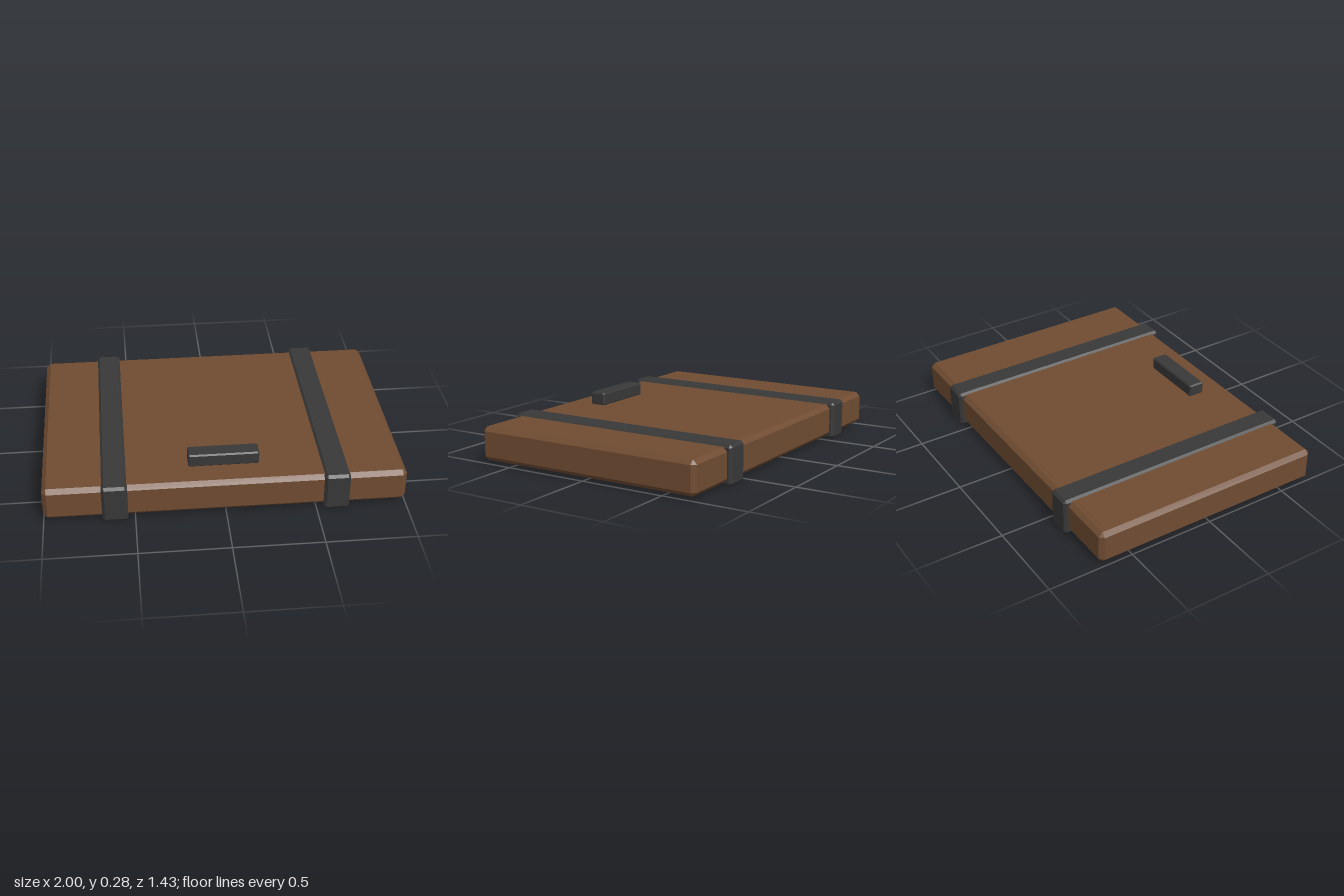
import * as THREE from 'three';
import { ConvexGeometry } from 'three/addons/geometries/ConvexGeometry.js';

// Box with every edge cut at 45 degrees: three corner points per corner
function chamferBox(w, h, d, c) {
  const points = [];
  for (const sx of [-1, 1]) for (const sy of [-1, 1]) for (const sz of [-1, 1]) {
    const x = w / 2, y = h / 2, z = d / 2;
    points.push(
      new THREE.Vector3(sx * x, sy * (y - c), sz * (z - c)),
      new THREE.Vector3(sx * (x - c), sy * y, sz * (z - c)),
      new THREE.Vector3(sx * (x - c), sy * (y - c), sz * z)
    );
  }
  return new ConvexGeometry(points);
}

export function createModel() {
  const group = new THREE.Group();
  group.name = 'strappedCase';

  const leather = new THREE.MeshStandardMaterial({ color: 0x704c32 });
  leather.name = 'brown leather';
  const dark = new THREE.MeshStandardMaterial({ color: 0x383838 });
  dark.name = 'dark grey strap';

  function add(name, geometry, material, x, y, z) {
    const mesh = new THREE.Mesh(geometry, material);
    mesh.name = name;
    mesh.position.set(x, y, z);
    group.add(mesh);
  }

  // Flat case body
  add('caseBody', chamferBox(2, 0.192, 1.386, 0.024), leather, 0, 0.112, 0);

  // Two straps wrapping the case front to back
  const strap = chamferBox(0.142, 0.22, 1.434, 0.015);
  add('leftStrap', strap, dark, 0.61, 0.11, 0);
  add('rightStrap', strap, dark, -0.61, 0.11, 0);

  // Handle block lying on the lid near the front
  add('handle', chamferBox(0.394, 0.077, 0.096, 0.008), dark, 0, 0.243, 0.488);

  return group;
}
